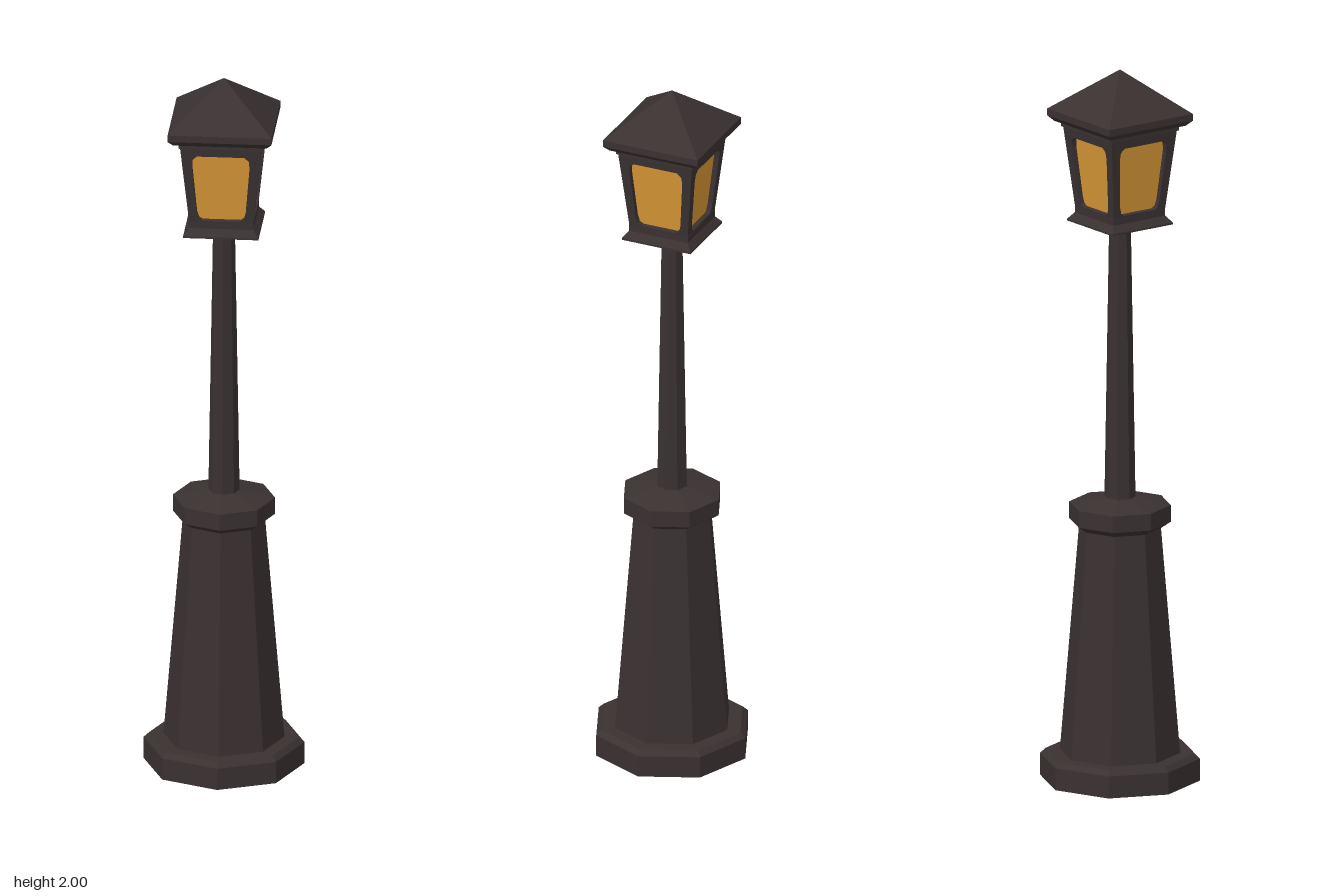
import * as THREE from 'three';

const iron = new THREE.MeshStandardMaterial({ color: 0x3a3131 });
iron.name = 'dark iron';
const amber = new THREE.MeshStandardMaterial({ color: 0xd69636 });
amber.name = 'amber glass';

// Faceted turned solid: profile of [radius, y] from bottom to top
function turned(name, profile, sides, material = iron) {
  const square = sides === 4;
  const k = square ? Math.SQRT2 : 1; // for squares the radius is the half width
  const points = profile.map(([r, y]) => new THREE.Vector2(r * k, y));
  const geometry = new THREE.LatheGeometry(points, sides, square ? Math.PI / 4 : 0).toNonIndexed();
  geometry.computeVertexNormals();
  const mesh = new THREE.Mesh(geometry, material);
  mesh.name = name;
  return mesh;
}

export function createModel() {
  const model = new THREE.Group();
  model.name = 'streetLamp';

  // Octagonal foot, pedestal, collar and pole
  model.add(turned('foot', [[0, 0], [0.22, 0], [0.22, 0.062], [0.205, 0.076], [0, 0.076]], 8));
  model.add(turned('pedestal', [[0.166, 0.07], [0.112, 0.72]], 8));
  model.add(turned('collar', [[0, 0.71], [0.114, 0.71], [0.14, 0.728], [0.14, 0.775], [0.035, 0.797], [0, 0.797]], 8));
  model.add(turned('pole', [[0.043, 0.78], [0.03, 1.56]], 8));
  model.add(turned('poleCap', [[0, 1.543], [0.034, 1.543], [0.043, 1.552], [0.043, 1.575], [0, 1.575]], 8));

  // Square lantern
  const lantern = new THREE.Group();
  lantern.name = 'lantern';
  model.add(lantern);
  lantern.add(turned('lanternBase', [[0, 1.568], [0.103, 1.568], [0.103, 1.573], [0.088, 1.592], [0.088, 1.61], [0, 1.61]], 4));
  lantern.add(turned('glass', [[0.073, 1.605], [0.095, 1.84]], 4, amber));
  lantern.add(turned('rim', [[0, 1.834], [0.115, 1.834], [0.115, 1.855], [0, 1.855]], 4));
  lantern.add(turned('roof', [[0, 1.848], [0.128, 1.848], [0.142, 1.863], [0.142, 1.882], [0, 2]], 4));

  // Four leaning frames, each with a soft-cornered opening
  const low = 0.087, high = 0.111, rise = 0.234, bottom = 1.604;
  const mirrored = (right) => [...right, ...right.map(([x, y]) => [-x, y]).reverse()]
    .map(([x, y]) => new THREE.Vector2(x, y));
  const shape = new THREE.Shape(mirrored([[low, 0], [high, rise]]));
  shape.holes.push(new THREE.Path(mirrored(
    [[0.052, 0.01], [0.062, 0.017], [0.067, 0.035], [0.079, 0.175], [0.077, 0.196], [0.065, 0.207]])));
  const frameGeometry = new THREE.ExtrudeGeometry(shape, { depth: 0.016, bevelEnabled: false });
  frameGeometry.translate(0, 0, -0.016);
  frameGeometry.rotateX(Math.atan2(high - low, rise));
  frameGeometry.translate(0, bottom, low);
  for (let i = 0; i < 4; i++) {
    const frame = new THREE.Mesh(frameGeometry, iron);
    frame.name = 'windowFrame' + (i + 1);
    frame.rotation.y = i * Math.PI / 2;
    lantern.add(frame);
  }
  return model;
}
